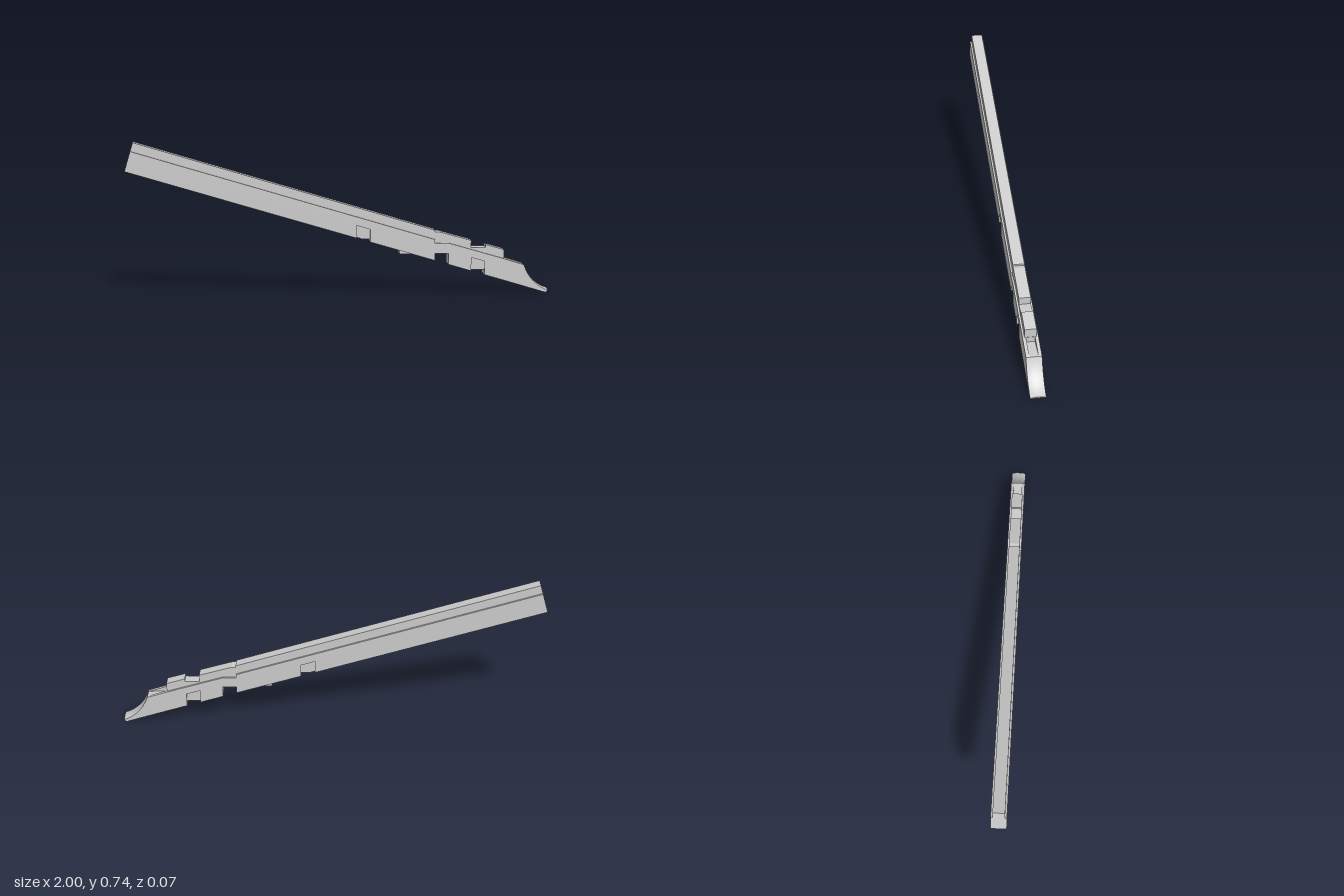
import * as THREE from 'three';
import { toCreasedNormals } from 'three/addons/utils/BufferGeometryUtils.js';

const HALF = 0.035;      // half thickness of the side walls
const CORE = 0.0265;     // half thickness of the core and top rib
const material = new THREE.MeshStandardMaterial({ color: 0xcccccc });

// Sloping underside of the bar; lift moves the line upward
const under = (x, lift = 0) => [x, 0.607 - 0.3035 * (x + 1) + lift];

// Side profile extruded across z between z0 and z1
function slab(points, z0, z1, steps = 1) {
  const shape = new THREE.Shape(points.map(([x, y]) => new THREE.Vector2(x, y)));
  const geometry = new THREE.ExtrudeGeometry(shape, { depth: z1 - z0, steps, bevelEnabled: false });
  return geometry.translate(0, 0, z0);
}

export function createModel() {
  const group = new THREE.Group();
  const add = (name, geometry) => {
    const mesh = new THREE.Mesh(geometry, material);
    mesh.name = name;
    group.add(mesh);
  };

  // Wide bar with notches along its underside and a dip in its shoulder
  add('bar', slab([
    under(-1), under(0.075), under(0.075, 0.06), under(0.14, 0.06), under(0.14),
    under(0.45), [0.45, 0.2], [0.515, 0.2], under(0.515),
    under(0.625), under(0.625, 0.065), under(0.69, 0.065), under(0.69),
    under(0.785), [0.785, 0.17], [0.515, 0.25], [0.45, 0.25], [0.45, 0.268], [-0.972, 0.7],
  ], -HALF, HALF));

  // Narrow core: rib on top, filling the side recesses, with a small tooth below
  add('coreRib', slab([
    under(-0.999, 0.003), under(0.09, 0.003), [0.1, 0.275], [0.14, 0.275], under(0.14, 0.003),
    under(0.28, 0.003), [0.28, 0.2], [0.34, 0.2], under(0.36, 0.003),
    under(0.449, 0.003), [0.449, 0.201], [0.516, 0.201], under(0.516, 0.003),
    [0.625, 0.118], [0.69, 0.118], under(0.72, 0.003), under(0.784, 0.003),
    [0.784, 0.213], [0.695, 0.239], [0.695, 0.225], [0.625, 0.225], [0.625, 0.26],
    [0.47, 0.304], [0.45, 0.304], [0.45, 0.312], [-0.96, 0.74],
  ], -CORE, CORE));

  // Tip with a hollow front that is slightly crowned across its width
  const scoop = new THREE.CubicBezierCurve(
    new THREE.Vector2(1, 0.02), new THREE.Vector2(0.95, 0.035),
    new THREE.Vector2(0.905, 0.08), new THREE.Vector2(0.88, 0.14));
  const hollow = scoop.getPoints(14).map((p) => [p.x, p.y]);
  const tip = slab([under(0.785), [0.99, 0.002], ...hollow, [0.785, 0.144]], -HALF, HALF, 10);
  const pos = tip.attributes.position;
  for (let i = 0; i < pos.count; i++) {
    const x = pos.getX(i), y = pos.getY(i), across = (pos.getZ(i) / HALF) ** 2;
    if (x > 0.8801 && y > 0.015) pos.setY(i, y - 0.006 * across * Math.min(1, (x - 0.88) / 0.03));
  }
  add('tip', toCreasedNormals(tip, 0.5));

  // Raised cheeks either side of the slot behind the hollow
  for (const [name, z0, z1] of [['leftCheek', 0.02, HALF], ['rightCheek', -HALF, -0.02]]) {
    add(name, slab([[0.785, 0.138], [0.88, 0.138], [0.88, 0.14], [0.785, 0.17]], z0, z1));
  }

  // The front faces +z, so left and right swap for the cheeks' names only
  group.getObjectByName('leftCheek').name = 'frontCheek';
  group.getObjectByName('rightCheek').name = 'backCheek';
  return group;
}
